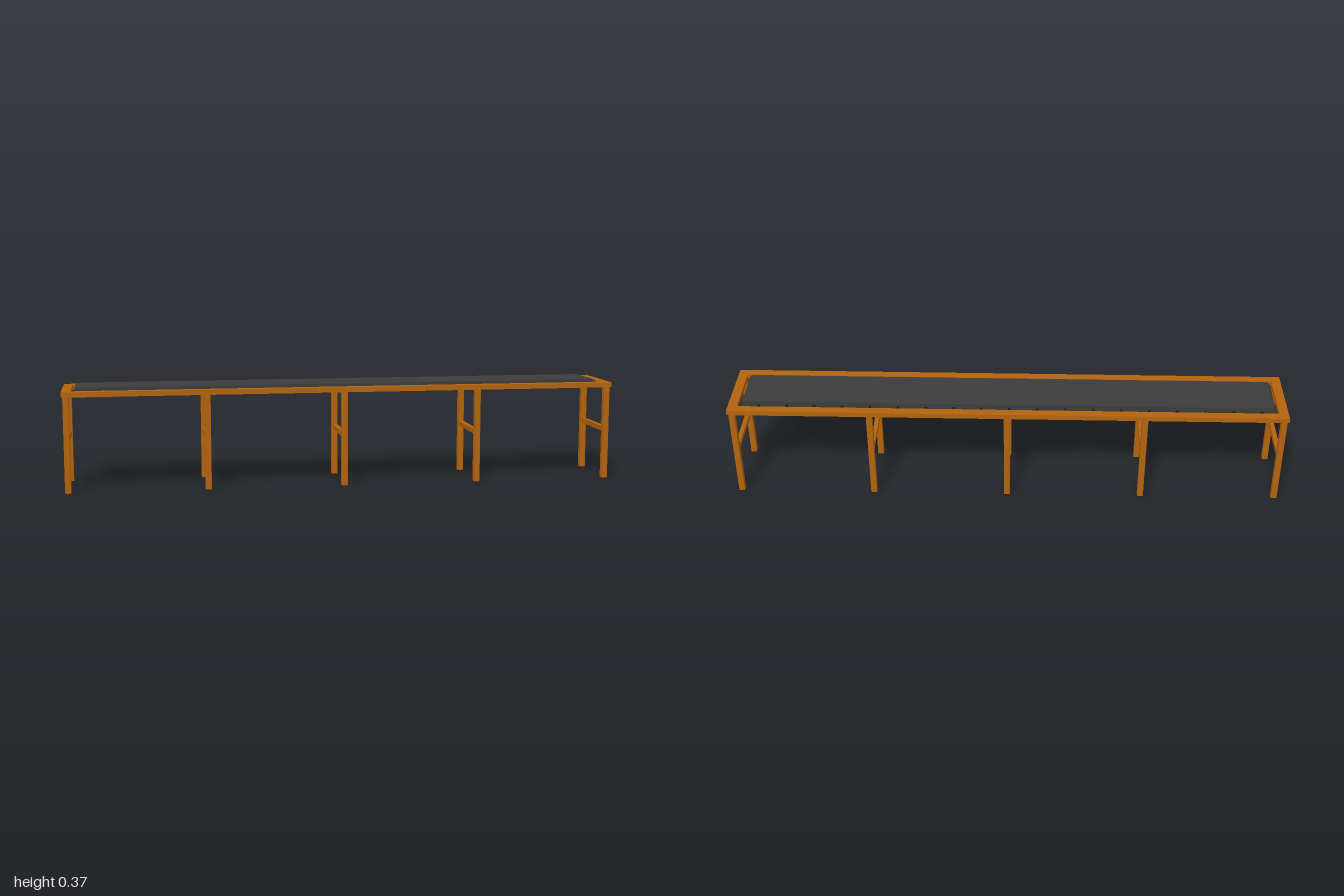
import * as THREE from 'three';
import { RoundedBoxGeometry } from 'three/addons/geometries/RoundedBoxGeometry.js';

const wood = new THREE.MeshStandardMaterial({ color: 0xb3640e });
wood.name = 'orange wood';
const rubber = new THREE.MeshStandardMaterial({ color: 0x3c3c3c });
rubber.name = 'dark grey rubber';
const steel = new THREE.MeshStandardMaterial({ color: 0x1a1a1a });
steel.name = 'black steel';

function add(parent, name, geometry, material, x = 0, y = 0, z = 0) {
  const mesh = new THREE.Mesh(geometry, material);
  mesh.name = name;
  mesh.position.set(x, y, z);
  parent.add(mesh);
  return mesh;
}

// Rectangular frame with an open middle
function frameGeometry() {
  const rect = (path, w, d) => path.moveTo(-w, -d).lineTo(w, -d).lineTo(w, d).lineTo(-w, d).closePath();
  const shape = rect(new THREE.Shape(), 1, 0.136);
  shape.holes.push(rect(new THREE.Path(), 0.967, 0.104));
  return new THREE.ExtrudeGeometry(shape, { depth: 0.018, bevelEnabled: false }).rotateX(-Math.PI / 2);
}

// Closed belt loop with rounded ends; its underside sags at the left end
function beltGeometry() {
  const top = 0.368, low = 0.333, high = 0.34;
  const rl = (top - low) / 2, rr = (top - high) / 2;
  const s = new THREE.Shape();
  s.moveTo(-0.96 + rl, low);
  s.lineTo(-0.8, low);
  s.lineTo(-0.76, high);
  s.lineTo(0.955 - rr, high);
  s.absarc(0.955 - rr, top - rr, rr, -Math.PI / 2, Math.PI / 2, false);
  s.lineTo(-0.96 + rl, top);
  s.absarc(-0.96 + rl, top - rl, rl, Math.PI / 2, Math.PI * 1.5, false);
  return new THREE.ExtrudeGeometry(s, { depth: 0.174, bevelEnabled: false, curveSegments: 10 });
}

export function createModel() {
  const model = new THREE.Group();
  model.name = 'conveyor';

  add(model, 'frame', frameGeometry(), wood, 0, 0.341, 0);
  add(model, 'belt', beltGeometry(), rubber, 0, 0, -0.086);

  // Roller axles between the side rails
  const axle = new THREE.CylinderGeometry(0.005, 0.005, 0.216, 10).rotateX(Math.PI / 2);
  for (let i = 0; i < 19; i++) add(model, 'axle', axle, steel, -0.908 + i * 0.1, 0.351, 0);

  // Five trestles, each with two legs and a cross rung
  const leg = new RoundedBoxGeometry(0.022, 0.345, 0.022, 1, 0.002);
  const rung = new THREE.BoxGeometry(0.016, 0.018, 0.224);
  for (const x of [-0.984, -0.492, 0, 0.492, 0.984]) {
    const trestle = new THREE.Group();
    trestle.name = 'trestle';
    trestle.position.x = x;
    for (const side of [-1, 1]) add(trestle, 'leg', leg, wood, 0, 0.1725, side * 0.121);
    add(trestle, 'rung', rung, wood, 0, 0.184, 0);
    model.add(trestle);
  }
  return model;
}
